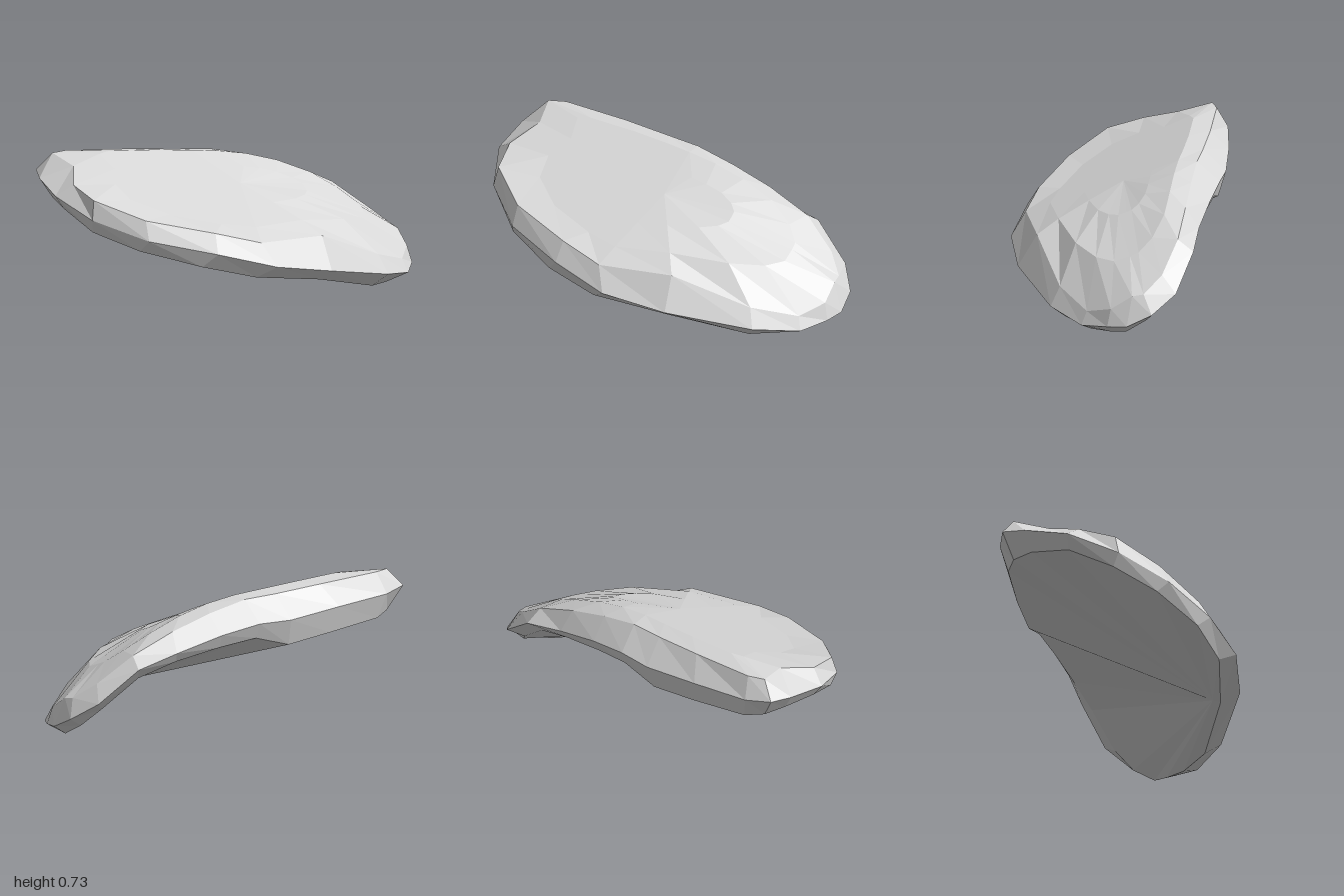
import * as THREE from 'three';

// Three closed loops of the slab, each running +x, front, -x, back.
const upperRim = [
  [.95, .23, 0], [.94, .16, .11], [.84, .12, .23], [.62, .19, .36], [.22, .35, .46],
  [-.17, .36, .5], [-.4, .42, .42], [-.72, .49, .25], [-.91, .58, .04], [-.92, .63, -.15],
  [-.82, .69, -.32], [-.84, .73, -.5], [-.75, .73, -.52], [-.4, .71, -.47], [-.14, .69, -.42],
  [.04, .68, -.38], [.25, .63, -.34], [.47, .56, -.3], [.7, .46, -.25], [.87, .32, -.16],
  [.95, .24, -.06],
];
const outerEdge = [
  [1, .08, .03], [.96, .07, .13], [.86, .05, .26], [.65, .09, .41], [.22, .18, .56],
  [-.12, .24, .58], [-.42, .32, .48], [-.73, .39, .3], [-.93, .48, .06], [-1, .57, -.2],
  [-.96, .62, -.43], [-.91, .64, -.55], [-.77, .62, -.58], [-.45, .6, -.57], [-.14, .57, -.54],
  [.04, .57, -.5], [.25, .53, -.44], [.5, .46, -.37], [.73, .4, -.33], [.92, .23, -.23],
  [1, .14, -.1],
];
const lowerRim = [
  [.92, .03, .03], [.85, .01, .1], [.76, 0, .2], [.6, .02, .33], [.2, .12, .46],
  [-.2, .18, .5], [-.48, .25, .42], [-.75, .33, .24], [-.91, .41, .03], [-.95, .5, -.2],
  [-.9, .52, -.4], [-.84, .51, -.5], [-.74, .49, -.54], [-.42, .46, -.53], [-.16, .43, -.5],
  [.04, .49, -.47], [.24, .46, -.41], [.48, .41, -.34], [.68, .34, -.27], [.85, .18, -.17],
  [.91, .09, -.08],
];

// Height of the top face: rises to the back and rounds down towards +x
const topHeight = (x, z) => .57 - .41 * z - .38 * Math.max(0, x) ** 2;

// Upper rim pulled inwards and laid on the top face
const topLoop = (t) => upperRim.map(([x, , z]) => [x * t, topHeight(x * t, z * t), z * t]);

// Skin between successive loops; a loop collapsed to a point makes a fan
function skin(loops) {
  const positions = [];
  const n = loops[0].length;
  for (let r = 0; r < loops.length - 1; r++) {
    const [a, b] = [loops[r], loops[r + 1]];
    for (let i = 0; i < n; i++) {
      const j = (i + 1) % n;
      if (r > 0) positions.push(...a[i], ...a[j], ...b[i]);
      if (r < loops.length - 2) positions.push(...b[i], ...a[j], ...b[j]);
    }
  }
  const geometry = new THREE.BufferGeometry();
  geometry.setAttribute('position', new THREE.Float32BufferAttribute(positions, 3));
  geometry.computeVertexNormals(); // unshared corners give flat facets
  return geometry;
}

export function createModel() {
  const group = new THREE.Group();
  group.name = 'rock';
  const stone = new THREE.MeshStandardMaterial({ color: 0xd8d8d8 });
  stone.name = 'grey stone';

  // Rounded top, faceted rim, and an underside fanning out from near the front
  const slab = new THREE.Mesh(skin([
    topLoop(0),
    topLoop(.4),
    topLoop(.75),
    upperRim,
    outerEdge,
    lowerRim,
    lowerRim.map(() => [.19, .13, .42]),
  ]), stone);
  slab.name = 'rockSlab';
  group.add(slab);
  return group;
}
